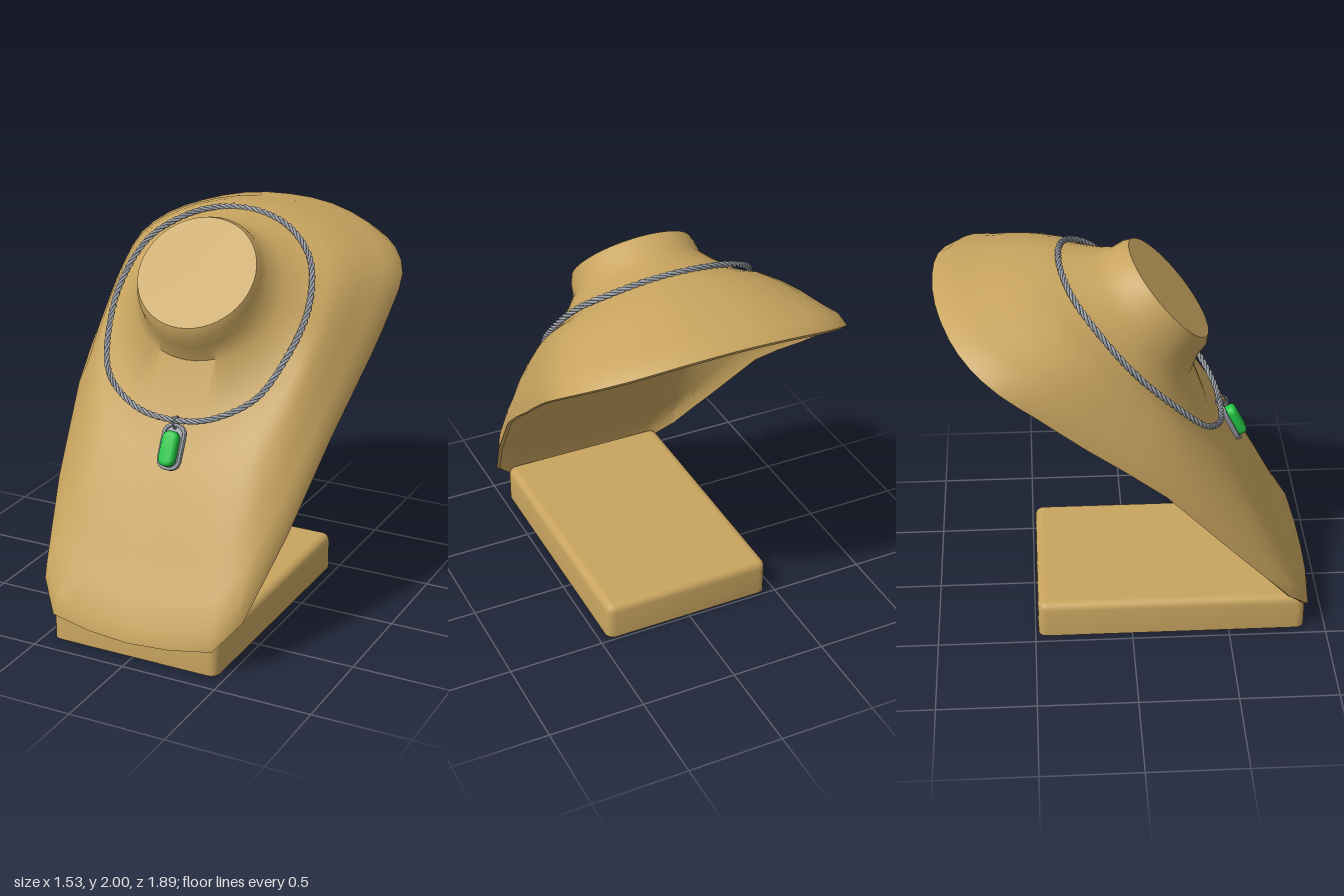
import * as THREE from 'three';
import { toCreasedNormals, mergeGeometries } from 'three/addons/utils/BufferGeometryUtils.js';

const V = (x, y, z) => new THREE.Vector3(x, y, z);
const mat = (color) => new THREE.MeshStandardMaterial({ color });

// Skin between successive closed rings of equal point count
function loft(rings) {
  const n = rings[0].length, index = [];
  const pts = rings.flat();
  for (let i = 0; i < rings.length - 1; i++) {
    for (let j = 0; j < n; j++) {
      const a = i * n + j, b = i * n + (j + 1) % n, c = a + n, d = b + n;
      if (!pts[a].equals(pts[b])) index.push(a, c, b);
      if (!pts[c].equals(pts[d])) index.push(b, c, d);
    }
  }
  const g = new THREE.BufferGeometry().setFromPoints(pts);
  g.setIndex(index);
  g.computeVertexNormals();
  return g;
}

// Collapse a ring to its centre, to close a surface
function collapse(ring) {
  const c = ring.reduce((s, p) => s.add(p), V(0, 0, 0)).divideScalar(ring.length);
  return ring.map(() => c.clone());
}

// Ring from half a loop (front to back on the left), mirrored to the right
function mirrorRing(half) {
  const other = half.slice(1, -1).reverse().map((p) => V(-p.x, p.y, p.z));
  return [...half, ...other];
}

const HALF = 24;
function ovalHalf(rx, yFront, yBack, zFront, zBack) {
  const out = [];
  for (let i = 0; i <= HALF; i++) {
    const a = Math.PI * i / HALF, k = (1 + Math.cos(a)) / 2;
    out.push(V(i % HALF ? rx * Math.sin(a) : 0, yBack + (yFront - yBack) * k, zBack + (zFront - zBack) * k));
  }
  return out;
}

// Hollow bust: neck, shoulders and chest, then back along the inside
function bustGeometry() {
  const rimKeys = [
    [0, .10, .945], [.22, .11, .935], [.44, .14, .91], [.55, .27, .80], [.64, .62, .50],
    [.71, 1.02, .15], [.752, 1.33, -.23], [.765, 1.52, -.46], [.75, 1.645, -.63],
    [.655, 1.735, -.762], [.5, 1.80, -.855], [.26, 1.86, -.925], [0, 1.88, -.945],
  ].map((p) => V(...p));
  const rimCurve = new THREE.CatmullRomCurve3(mirrorRing(rimKeys), true);
  // Straight edges along the chest, rounded over the shoulders
  const rim = Array.from({ length: HALF + 1 }, (_, i) => i < 10
    ? rimKeys[Math.floor(i / 2)].clone().lerp(rimKeys[Math.ceil(i / 2)], .5)
    : rimCurve.getPoint(i / HALF / 2));
  const mid = ovalHalf(.52, 1.1, 1.962, .41, -.33);
  const halves = [
    ovalHalf(.31, 1.55, 2.0, .40, .005),
    ovalHalf(.322, 1.50, 1.992, .395, -.035),
    ovalHalf(.332, 1.44, 1.957, .352, -.09),
    ovalHalf(.395, 1.36, 1.945, .318, -.17),
    mid,
  ];
  const firstInner = 3;
  for (const u of [.2, .4, .6, .8, .94, 1]) {
    halves.push(mid.map((p, i) => {
      const a = Math.PI * i / HALF, c = Math.cos(a);
      const profile = u < 1 ? Math.sin(Math.PI * u) ** .6 : 0;
      const swell = profile * (.055 * Math.sin(a) + .0075 * (1 + c) + .015 * (1 - c));
      const roll = u === .94 ? .02 : 0;
      return p.clone().lerp(rim[i], u).add(V(0, .75 * swell + .8 * roll, .5 * swell + .7 * roll));
    }));
  }
  const outer = halves.map(mirrorRing);
  const skin = loft(outer), normals = skin.attributes.normal, n = outer[0].length;
  const inner = outer.map((ring, i) => ring.map((p, j) =>
    p.clone().addScaledVector(new THREE.Vector3().fromBufferAttribute(normals, i * n + j), -.02)));
  // Flat disc closing the neck from inside
  const disc = mirrorRing(ovalHalf(.265, 1.52, 1.91, .322, -.03));
  const rings = [collapse(outer[0]), ...outer, ...inner.slice(firstInner).reverse(), disc, collapse(disc)];
  return toCreasedNormals(loft(rings), .68);
}

// Rounded rectangle ring at height y
function rectRing(hx, hz, r, y, zc) {
  const out = [];
  for (const [sx, sz, a0] of [[1, 1, 0], [1, -1, 1], [-1, -1, 2], [-1, 1, 3]]) {
    for (let k = 0; k <= 4; k++) {
      const a = (a0 + k / 4) * Math.PI / 2;
      out.push(V(sx * (hx - r) + r * Math.sin(a) * 1, y, zc + sz * (hz - r) + r * Math.cos(a)));
    }
  }
  return out;
}

// Tray-like foot, open underneath
function footGeometry() {
  const hx = .455, hz = .69, zc = .205, b = .04, top = .195, wall = .013;
  const flat = rectRing(hx - b - .006, hz - b - .006, .004, top, zc);
  const rings = [collapse(flat), flat];
  for (let k = 0; k <= 4; k++) {
    const a = k / 4 * Math.PI / 2, inset = b * (1 - Math.sin(a));
    rings.push(rectRing(hx - inset, hz - inset, .045 - inset, top - b + b * Math.cos(a), zc));
  }
  rings.push(rectRing(hx, hz, .045, 0, zc));
  const inner = (y) => rectRing(hx - wall, hz - wall, .032, y, zc);
  rings.push(inner(0), inner(top - wall), collapse(inner(top - wall)));
  return toCreasedNormals(loft(rings), .65);
}

// Three strands twisted along the necklace loop
function chainGeometry() {
  const half = [
    [0, 1.1, .47], [.2, 1.125, .45], [.4, 1.23, .355], [.49, 1.40, .2], [.52, 1.6, .01],
    [.455, 1.79, -.16], [.31, 1.9, -.272], [.16, 1.952, -.32], [0, 1.967, -.335],
  ].map((p) => V(...p));
  const path = new THREE.CatmullRomCurve3(mirrorRing(half), true);
  const steps = 400, twists = 34, frames = path.computeFrenetFrames(steps, true);
  const strands = [0, 1, 2].map((s) => {
    const pts = [];
    for (let i = 0; i < steps; i++) {
      const a = 2 * Math.PI * (twists * i / steps + s / 3);
      pts.push(path.getPointAt(i / steps)
        .addScaledVector(frames.normals[i], .0085 * Math.cos(a))
        .addScaledVector(frames.binormals[i], .0085 * Math.sin(a)));
    }
    return new THREE.TubeGeometry(new THREE.CatmullRomCurve3(pts, true), 800, .0075, 6, true);
  });
  return mergeGeometries(strands);
}

// Upright rounded outline for the pendant pieces
function pillShape(w, h, r, Type = THREE.Shape) {
  const s = new Type(), x = w / 2 - r, y = h / 2 - r;
  s.absarc(x, y, r, 0, Math.PI / 2);
  s.absarc(-x, y, r, Math.PI / 2, Math.PI);
  s.absarc(-x, -y, r, Math.PI, Math.PI * 1.5);
  s.absarc(x, -y, r, Math.PI * 1.5, Math.PI * 2);
  s.closePath();
  return s;
}

function extrude(shape, depth, bevel) {
  const g = new THREE.ExtrudeGeometry(shape, {
    depth, bevelThickness: bevel, bevelSize: bevel, bevelOffset: -bevel, bevelSegments: 4, curveSegments: 8,
  });
  return toCreasedNormals(g, .7);
}

export function createModel() {
  const model = new THREE.Group();
  const add = (parent, name, geometry, material) => {
    const m = new THREE.Mesh(geometry, material);
    m.name = name;
    parent.add(m);
    return m;
  };
  const tan = mat(0xc8a45f), steel = mat(0x9a9fa6), silver = mat(0x8c9097), green = mat(0x22c444);

  add(model, 'bust', bustGeometry(), tan);
  add(model, 'foot', footGeometry(), tan);
  add(model, 'necklaceChain', chainGeometry(), steel).position.x = -.01;

  // Pendant, tilted to lie along the chest
  const pendant = new THREE.Group();
  pendant.name = 'pendant';
  pendant.position.set(.03, .985, .532);
  pendant.rotation.x = -.46;
  const frame = pillShape(.126, .232, .054);
  frame.holes.push(pillShape(.094, .2, .042, THREE.Path));
  add(pendant, 'pendantFrame', extrude(frame, .016, .005), silver).position.z = -.013;
  add(pendant, 'pendantBack', extrude(pillShape(.11, .216, .048), .004, .002), steel).position.z = -.011;
  add(pendant, 'gem', extrude(pillShape(.086, .176, .038), .018, .02), green).position.set(0, -.012, .012);
  model.add(pendant);

  // Ring joining pendant and chain
  const ring = add(model, 'pendantRing', new THREE.TorusGeometry(.03, .005, 8, 24), silver);
  ring.position.set(.03, 1.095, .482);
  ring.rotation.y = Math.PI / 2;
  return model;
}
